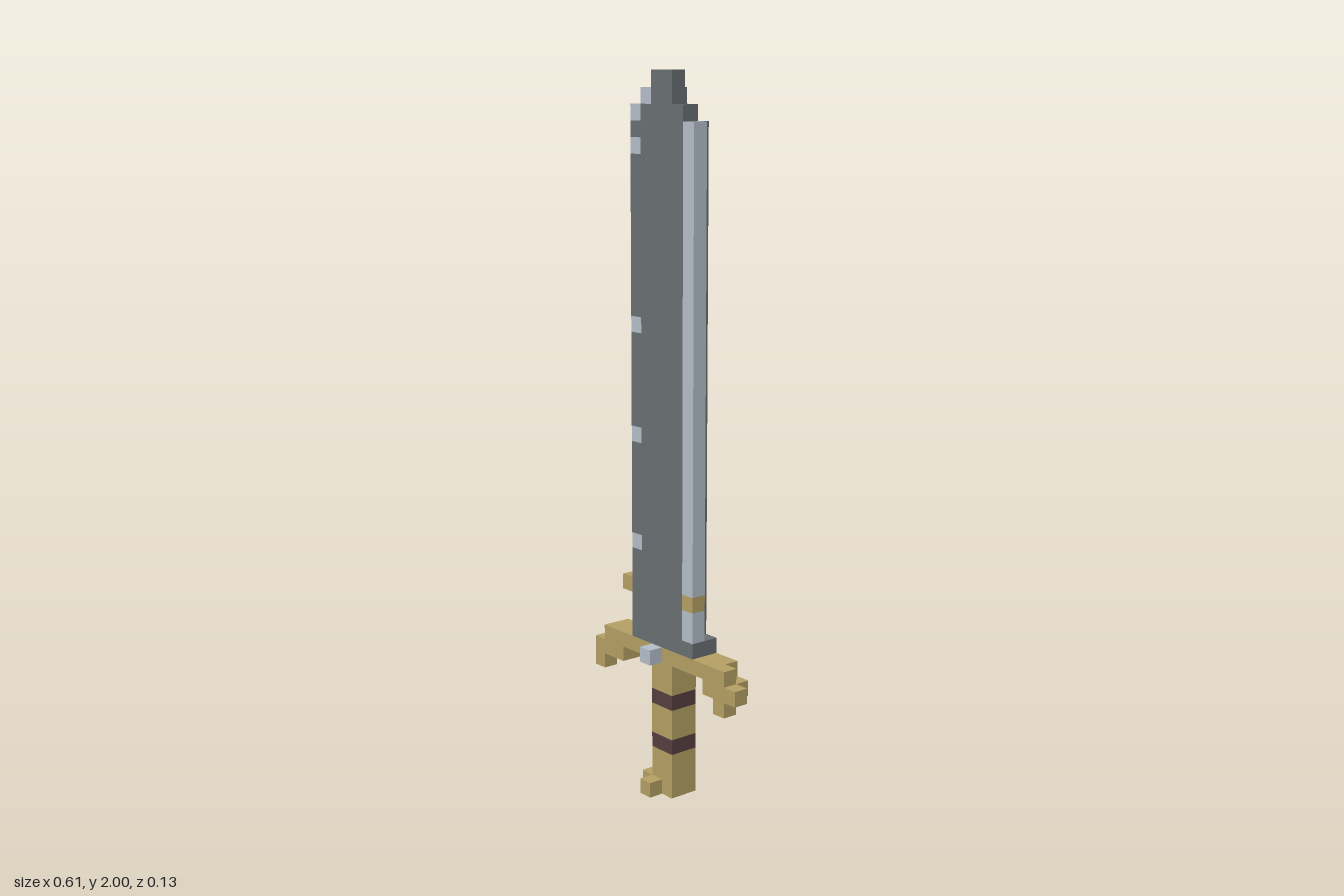
import * as THREE from 'three';

const V = 2 / 46; // edge of one cube

const flat = (name, color) => {
  const m = new THREE.MeshStandardMaterial({ color });
  m.name = name;
  return m;
};

export function createModel() {
  const steel = flat('dark steel', 0x6a7074);
  const silver = flat('silver', 0xb6c0cb);
  const gold = flat('gold', 0xb6a265);
  const leather = flat('brown leather', 0x583f40);

  const model = new THREE.Group();
  model.name = 'sword';
  const section = (name) => {
    const g = new THREE.Group();
    g.name = name;
    model.add(g);
    return g;
  };

  // Block in cube units: columns x0..x1, rows y0..y1, layers z0..z1 (0 back, 1 middle, 2 front)
  const block = (parent, name, mat, x0, x1, y0, y1, z0, z1) => {
    const geo = new THREE.BoxGeometry((x1 - x0) * V, (y1 - y0) * V, (z1 - z0) * V);
    const mesh = new THREE.Mesh(geo, mat);
    mesh.name = name;
    mesh.position.set((x0 + x1) / 2 * V, (y0 + y1) / 2 * V, ((z0 + z1) / 2 - 1.5) * V);
    parent.add(mesh);
  };

  // Grip with two leather bands
  const grip = section('grip');
  for (const [y0, y1, mat] of [[0, 3, gold], [3, 4, leather], [4, 6, gold], [6, 7, leather], [7, 9, gold]]) {
    block(grip, mat === gold ? 'gripSection' : 'gripBand', mat, -1, 1, y0, y1, 0, 2);
  }
  block(grip, 'pommelSideKnob', gold, -2, -1, 0, 1, 1, 2);
  block(grip, 'pommelFrontKnob', gold, -1, 0, 0, 1, 2, 3);

  // Crossguard with drooping ends
  const guard = section('crossguard');
  block(guard, 'guardBarBack', gold, -6, 5, 9, 10, 0, 1);
  block(guard, 'guardBarFront', gold, -6, 6, 9, 10, 1, 2);
  block(guard, 'rightGuardEnd', gold, -7, -4, 8, 9, 0, 2);
  block(guard, 'rightGuardTip', gold, -7, -6, 7, 8, 1, 2);
  block(guard, 'leftGuardEndBack', gold, 4, 6, 8, 9, 0, 1);
  block(guard, 'leftGuardEndFront', gold, 4, 7, 8, 9, 1, 2);
  block(guard, 'leftGuardTip', gold, 5, 6, 7, 8, 1, 2);
  block(guard, 'guardGem', silver, -1, 0, 9, 10, 2, 3);

  // Blade core with stepped tip
  const blade = section('blade');
  block(blade, 'bladeBase', steel, -3, 3, 10, 11, 0, 2);
  [[-2, 44], [-1, 45], [0, 44], [1, 43]].forEach(([x, top]) =>
    block(blade, 'bladeBack', steel, x, x + 1, 11, top, 0, 1));
  block(blade, 'bladeFront', steel, -2, 2, 11, 44, 1, 2);
  block(blade, 'bladeTip', steel, -1, 1, 44, 46, 1, 2);
  block(blade, 'tipGlint', silver, -2, -1, 44, 45, 1, 2);

  // Notched edge: steel with single silver nicks
  let y = 11;
  for (const nick of [16, 23, 30, 41, 43]) {
    block(blade, 'darkEdge', steel, -3, -2, y, nick, 1, 2);
    block(blade, 'edgeNick', silver, -3, -2, nick, nick + 1, 1, 2);
    y = nick + 1;
  }
  block(blade, 'edgeHook', gold, -4, -3, 13, 14, 1, 2);

  // Sharpened silver edge with a gold inlay
  block(blade, 'sharpEdgeLower', silver, 2, 3, 11, 13, 1, 2);
  block(blade, 'edgeInlay', gold, 2, 3, 13, 14, 1, 2);
  block(blade, 'sharpEdge', silver, 2, 3, 14, 43, 1, 2);

  return model;
}
